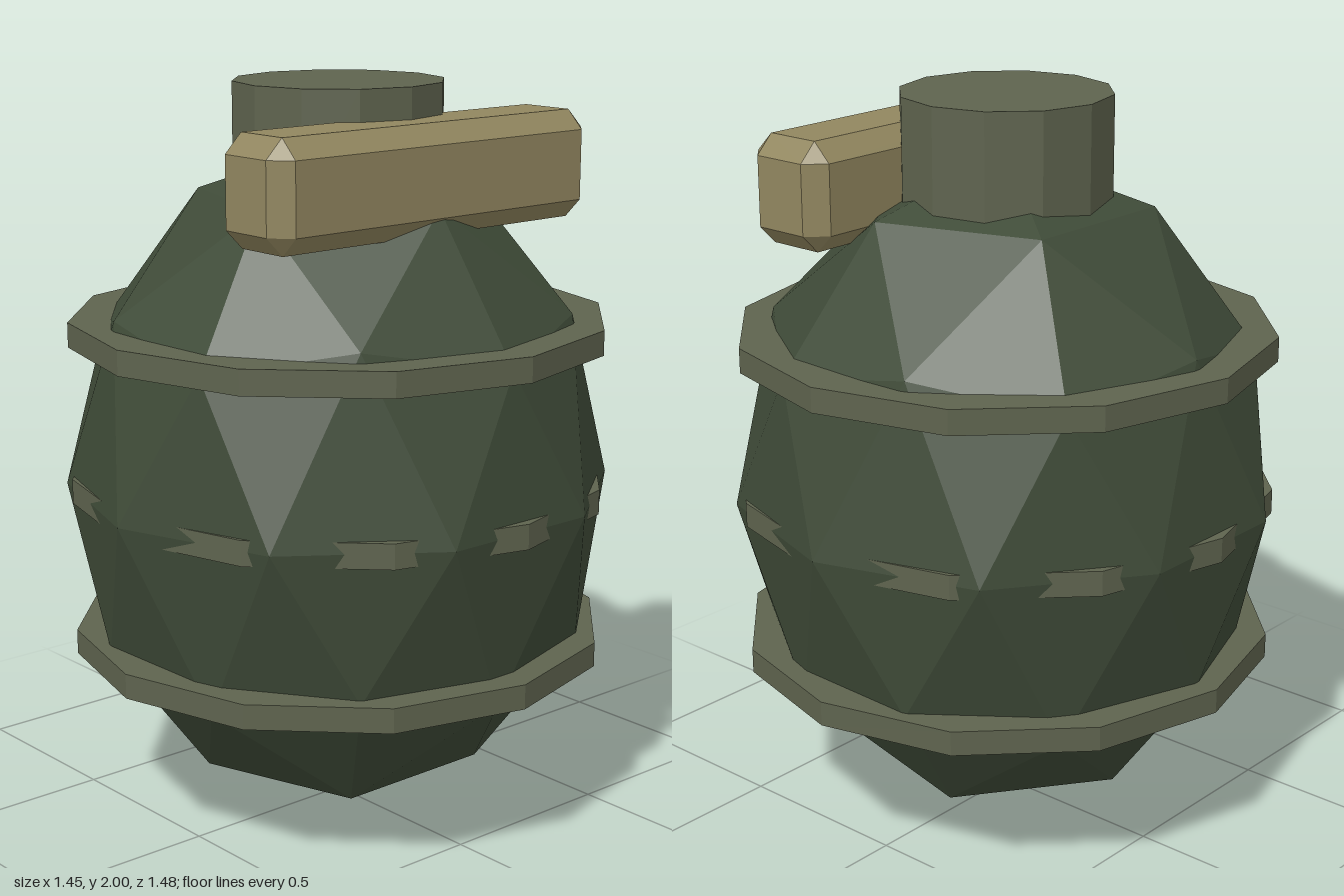
import * as THREE from 'three';
import { ConvexGeometry } from 'three/addons/geometries/ConvexGeometry.js';

const material = (name, color) =>
  new THREE.MeshStandardMaterial({ name, color, flatShading: true });

// Box with a flat 45-degree chamfer on every edge
function chamferedBox(w, h, d, c) {
  const points = [];
  for (const x of [-w / 2, w / 2])
    for (const y of [-h / 2, h / 2])
      for (const z of [-d / 2, d / 2]) {
        const ix = x - Math.sign(x) * c;
        const iy = y - Math.sign(y) * c;
        const iz = z - Math.sign(z) * c;
        points.push(
          new THREE.Vector3(x, iy, iz),
          new THREE.Vector3(ix, y, iz),
          new THREE.Vector3(ix, iy, z)
        );
      }
  return new ConvexGeometry(points);
}

export function createModel() {
  const group = new THREE.Group();
  const darkGreen = material('dark green', 0x3f4b38);
  const greyGreen = material('grey green', 0x5e634e);
  const tan = material('tan', 0x91865f);

  const add = (name, geometry, mat, x, y, z) => {
    const mesh = new THREE.Mesh(geometry, mat);
    mesh.name = name;
    mesh.position.set(x, y, z);
    group.add(mesh);
  };

  // Faceted egg-shaped body, turned so that a corner is at each pole
  const body = new THREE.IcosahedronGeometry(1, 1);
  body.rotateZ(-Math.atan(2 / (1 + Math.sqrt(5))));
  body.scale(0.74, 0.92, 0.74);
  body.computeVertexNormals();
  add('body', body, darkGreen, 0, 0.92, 0);

  // Three twelve-sided bands; the middle one only breaks through in places
  const band = new THREE.CylinderGeometry(0.727, 0.727, 0.067, 12);
  [['lowerBand', 0.49], ['middleBand', 0.917], ['upperBand', 1.345]].forEach(
    ([name, y]) => add(name, band, greyGreen, 0, y, 0)
  );

  // Neck on top
  add('neck', new THREE.CylinderGeometry(0.283, 0.283, 0.284, 12), greyGreen, 0, 1.858, 0);

  // Lever beside the neck
  add('lever', chamferedBox(0.256, 0.285, 1.08, 0.05), tan, 0.284, 1.775, 0);

  return group;
}
